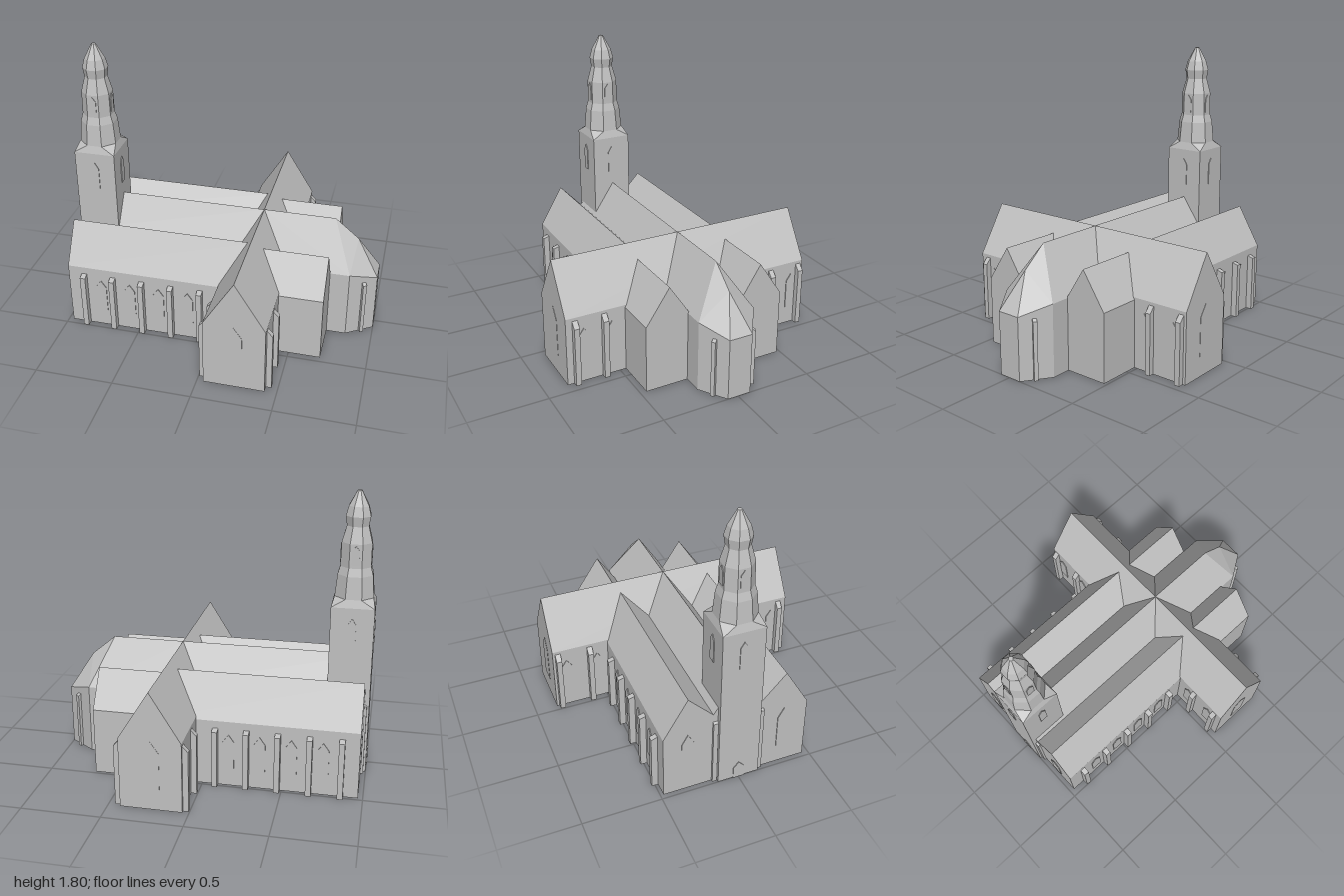
import * as THREE from 'three';
import { ConvexGeometry } from 'three/addons/geometries/ConvexGeometry.js';

export function createModel() {
  const model = new THREE.Group();
  const stone = new THREE.MeshStandardMaterial({ color: 0xc0c0c0, flatShading: true });
  stone.name = 'pale grey stone';

  const add = (name, geometry, x = 0, y = 0, z = 0, turn = 0) => {
    const mesh = new THREE.Mesh(geometry, stone);
    mesh.name = name;
    mesh.position.set(x, y, z);
    mesh.rotation.y = turn;
    model.add(mesh);
    return mesh;
  };
  const extrude = (points, depth) => new THREE.ExtrudeGeometry(
    new THREE.Shape(points.map(p => new THREE.Vector2(...p))), { depth, bevelEnabled: false });
  const hull = pts => new ConvexGeometry(pts.map(p => new THREE.Vector3(...p)));

  // Gabled hall: a house-shaped section swept along its ridge
  const gable = (a, eaveA, ridge, top, b, eaveB, length) =>
    extrude([[a, 0], [b, 0], [b, eaveB], [ridge, top], [a, eaveA]], length);
  const hallAlongX = (name, z0, eave0, ridge, top, z1, eave1, x0, x1) =>
    add(name, gable(-z1, eave1, -ridge, top, -z0, eave0, x1 - x0).rotateY(Math.PI / 2), x0);

  // Pointed window: thin plate facing local +z
  const pointedWindow = (name, w, y0, shoulder, top, x, z, turn) =>
    add(name, extrude([[-w / 2, y0], [w / 2, y0], [w / 2, shoulder], [0, top], [-w / 2, shoulder]], 0.008)
      .translate(0, 0, -0.003), x, 0, z, turn);

  // Buttress with a sloping top, standing out along local +z
  const buttress = (w, depth, inner, outer, x, z, turn) =>
    add('buttress', extrude([[-0.01, 0], [depth, 0], [depth, outer], [-0.01, inner]], w)
      .translate(0, 0, -w / 2).rotateY(-Math.PI / 2), x, 0, z, turn);

  const EAST = Math.PI / 2, WEST = -Math.PI / 2, SOUTH = 0, NORTH = Math.PI;

  // Nave, aisles and transept
  hallAlongX('nave', -0.165, 0.53, -0.005, 0.76, 0.15, 0.53, -0.97, 0.23);
  hallAlongX('southAisle', 0.15, 0.53, 0.305, 0.695, 0.46, 0.435, -0.97, 0.23);
  hallAlongX('northAisle', -0.48, 0.435, -0.325, 0.695, -0.165, 0.53, -0.97, 0.23);
  hallAlongX('southEastChapel', 0.175, 0.47, 0.305, 0.665, 0.46, 0.435, 0.23, 0.705);
  hallAlongX('northEastChapel', -0.48, 0.435, -0.325, 0.665, -0.2, 0.47, 0.23, 0.705);
  add('transept', gable(0.04, 0.45, 0.232, 0.76, 0.425, 0.45, 1.705), 0, 0, -0.855);

  // Choir with a hipped apse
  const zc = -0.007;
  const choir = [[0.23, 0.76, zc], [0.70, 0.76, zc], [0.855, 0.63, zc]];
  for (const [wall, end] of [[-0.2, -0.084], [0.18, 0.07]]) {
    for (const y of [0, 0.46]) choir.push([0.23, y, wall], [0.83, y, wall]);
    choir.push([1, 0, end], [1, 0.4, end]);
  }
  add('choirAndApse', hull(choir));
  pointedWindow('apseWindow', 0.07, 0.13, 0.34, 0.39, 1 - 0.005, zc, EAST);
  const slant = Math.atan2(0.11, 0.17);
  buttress(0.025, 0.02, 0.39, 0.37, 0.92, 0.122, slant);
  buttress(0.025, 0.02, 0.39, 0.37, 0.92, -0.138, Math.PI - slant);

  // Aisle windows and buttresses
  for (const [z, turn] of [[0.46, SOUTH], [-0.48, NORTH]]) {
    for (let i = 0; i < 5; i++) buttress(0.035, 0.04, 0.39, 0.375, -0.862 + i * 0.195, z, turn);
    for (let i = 0; i < 4; i++)
      pointedWindow('aisleWindow', 0.07, 0.12, 0.3, 0.35, -0.75 + i * 0.195, z, turn);
  }

  // Transept windows and buttresses
  pointedWindow('transeptGableWindow', 0.105, 0.13, 0.375, 0.45, 0.23, 0.847, SOUTH);
  pointedWindow('transeptGableWindow', 0.105, 0.13, 0.375, 0.45, 0.23, -0.852, NORTH);
  for (const [x, turn] of [[0.04, WEST], [0.425, EAST]]) {
    for (const z of [0.79, 0.6, -0.605, -0.82]) buttress(0.035, 0.035, 0.44, 0.39, x, z, turn);
    for (const z of [0.735, 0.55, -0.555, -0.765])
      pointedWindow('transeptWindow', 0.065, 0.125, 0.32, 0.367, x, z, turn);
  }

  // West front windows and corner strips beside the tower
  for (const z of [0.305, -0.325]) pointedWindow('westWindow', 0.08, 0.13, 0.36, 0.43, -0.97, z, WEST);
  for (const z of [0.148, -0.152]) buttress(0.03, 0.015, 0.48, 0.465, -0.97, z, WEST);

  // Tower: square shaft, broached collar, eight-sided stepped spire
  const tx = -0.865, half = 0.134;
  add('towerShaft', new THREE.BoxGeometry(half * 2, 1.1, half * 2), tx, 0.55, 0);
  const collar = [];
  const flat = 0.12, side = flat * Math.tan(Math.PI / 8);
  for (const sx of [-1, 1]) for (const sz of [-1, 1])
    collar.push([sx * half, 1.1, sz * half], [sx * flat, 1.15, sz * side], [sx * side, 1.15, sz * flat]);
  add('towerCollar', hull(collar), tx);

  const profile = [[0.12, 1.15], [0.108, 1.29], [0.094, 1.34], [0.092, 1.49], [0.066, 1.59],
    [0.075, 1.65], [0.06, 1.71], [0.013, 1.803], [0, 1.803]];
  add('spire', new THREE.LatheGeometry(
    profile.map(([r, y]) => new THREE.Vector2(r / Math.cos(Math.PI / 8), y)), 8, Math.PI / 8), tx);

  for (const turn of [SOUTH, EAST, NORTH, WEST]) {
    const dx = Math.sin(turn), dz = Math.cos(turn);
    pointedWindow('towerWindow', 0.05, 0.85, 0.995, 1.035, tx + dx * half, dz * half, turn);
    pointedWindow('spireWindow', 0.046, 1.36, 1.45, 1.48, tx + dx * 0.092, dz * 0.092, turn);
  }
  pointedWindow('westDoor', 0.07, 0, 0.08, 0.12, tx - half, 0, WEST);

  return model;
}
